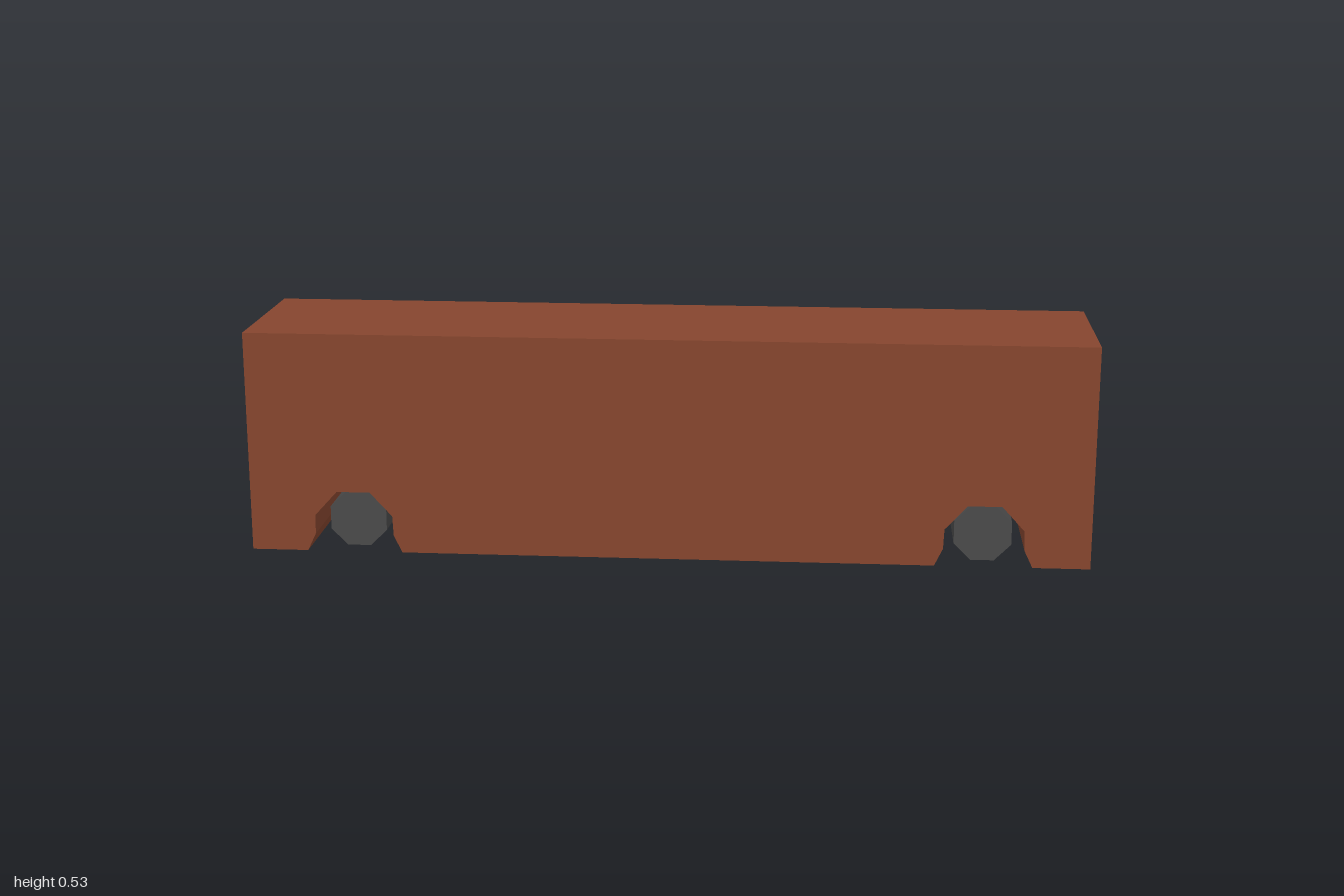
import * as THREE from 'three';

export function createModel() {
  const group = new THREE.Group();
  const brown = new THREE.MeshStandardMaterial({ color: 0x85452e, flatShading: true });
  brown.name = 'reddish brown';
  const grey = new THREE.MeshStandardMaterial({ color: 0x4a4a4a, flatShading: true });
  grey.name = 'dark grey';

  const height = 0.534, depth = 0.4, wheelX = 0.75;

  // Half outline of a wheel arch, from its foot to its crown
  const half = [[0.115, 0], [0.095, 0.042], [0.093, 0.09], [0.04, 0.148]];
  const arch = [
    ...half.map(([x, y]) => [-x, y]),
    ...[...half].reverse(),
  ];

  // Body: a long block with an arch cut through near each end
  const shape = new THREE.Shape();
  shape.moveTo(-1, 0);
  for (const cx of [-wheelX, wheelX]) {
    for (const [x, y] of arch) shape.lineTo(cx + x, y);
  }
  shape.lineTo(1, 0);
  shape.lineTo(1, height);
  shape.lineTo(-1, height);
  shape.closePath();
  const bodyGeometry = new THREE.ExtrudeGeometry(shape, { depth, bevelEnabled: false });
  bodyGeometry.translate(0, 0, -depth / 2);
  const body = new THREE.Mesh(bodyGeometry, brown);
  body.name = 'body';
  group.add(body);

  // Rollers: eight-sided, resting flat on the ground and set in from the sides
  const apothem = 0.068;
  const rollerGeometry = new THREE.CylinderGeometry(
    apothem / Math.cos(Math.PI / 8), apothem / Math.cos(Math.PI / 8), 0.3, 8);
  rollerGeometry.rotateY(Math.PI / 8);
  rollerGeometry.rotateX(Math.PI / 2);
  for (const side of [-1, 1]) {
    const roller = new THREE.Mesh(rollerGeometry, grey);
    roller.name = side > 0 ? 'leftRoller' : 'rightRoller';
    roller.position.set(side * wheelX, apothem, 0);
    group.add(roller);
  }
  return group;
}
